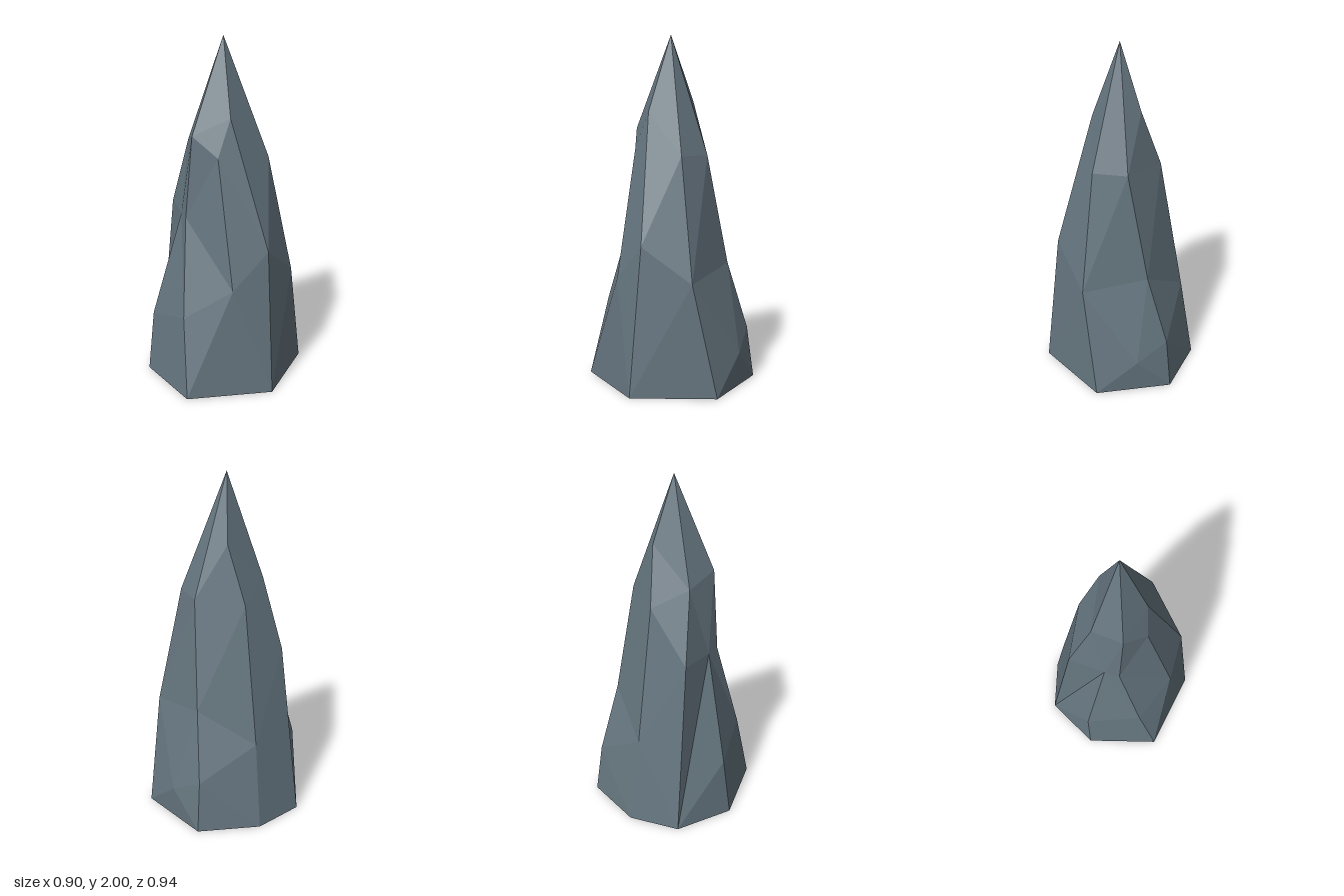
import * as THREE from 'three';

const stone = new THREE.MeshStandardMaterial({ color: 0x65757f, side: THREE.DoubleSide });
stone.name = 'slateStone';

// Ridge lines of the spike, each climbing from the foot to the shared tip
const tip = [-0.01, 2, 0];
const frontCrest = [[-0.155, 0, 0.465], [-0.19, 0.45, 0.345], [-0.2, 1.0, 0.18], [-0.16, 1.47, 0.17], tip];
const leftFront = [[0.32, 0, 0.32], [0.277, 0.84, 0.24], [0.05, 1.57, 0.145], tip];
const leftSide = [[0.45, 0, -0.15], [0.393, 0.64, -0.02], [0.248, 1.33, 0.004], tip];
const backLeft = [[0.14, 0, -0.47], [0.13, 0.3, -0.43], [0.145, 0.7, -0.3], [0.16, 1.325, -0.17], tip];
const back = [[-0.22, 0, -0.41], [-0.19, 0.505, -0.33], [-0.12, 1.305, -0.205], [-0.02, 1.63, -0.135], tip];
const backRight = [[-0.445, 0, -0.21], [-0.33, 1.01, -0.1], [-0.215, 1.41, -0.015], tip];

// Short ridges that branch off one crest and merge into another
const frontBranch = [frontCrest[0], [0.09, 0.63, 0.34], [-0.01, 1.36, 0.21], ...leftFront.slice(2)];
const backBranch = [backLeft[0], [0.29, 0.2, -0.33], ...backLeft.slice(2)];
const rightBranch = [[-0.45, 0, 0.145], [-0.42, 0.36, 0.11], [-0.24, 1.0, 0.1], ...frontCrest.slice(3)];

const ridges = [frontCrest, frontBranch, leftFront, leftSide, backBranch, backLeft, back, backRight, rightBranch];

// Fill between two neighbouring ridges, always stepping to the lower next point
function stitch(a, b, out) {
  let i = 0, j = 0;
  const add = (p, q, r) => {
    if (p !== q && q !== r && r !== p) out.push(...p, ...q, ...r);
  };
  while (i < a.length - 1 || j < b.length - 1) {
    const stepA = j === b.length - 1 || (i < a.length - 1 && a[i + 1][1] <= b[j + 1][1]);
    if (stepA) {
      add(a[i], b[j], a[i + 1]);
      i++;
    } else {
      add(a[i], b[j], b[j + 1]);
      j++;
    }
  }
}

export function createModel() {
  const group = new THREE.Group();
  group.name = 'rockSpike';

  // Faceted stone shell, open underneath; unshared corners give flat facets
  const positions = [];
  ridges.forEach((ridge, k) => stitch(ridge, ridges[(k + 1) % ridges.length], positions));
  const geometry = new THREE.BufferGeometry();
  geometry.setAttribute('position', new THREE.Float32BufferAttribute(positions, 3));
  geometry.computeVertexNormals();

  const shell = new THREE.Mesh(geometry, stone);
  shell.name = 'stoneShell';
  group.add(shell);
  return group;
}
